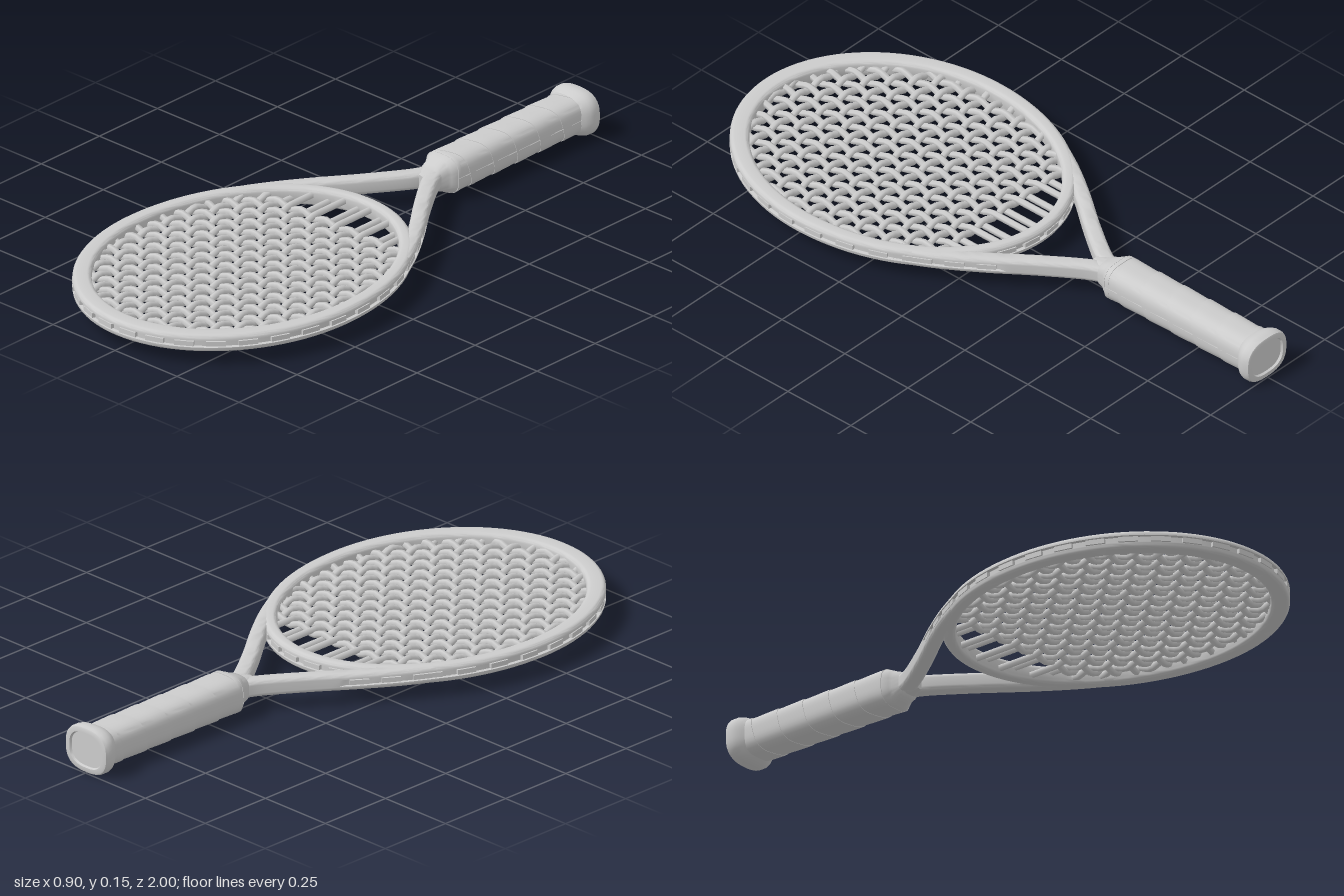
import * as THREE from 'three';
import { toCreasedNormals } from 'three/addons/utils/BufferGeometryUtils.js';

const MID = 0.073;                       // height of the racket's middle plane
const HOOP = { z: 0.46, a: 0.425, front: 0.51, back: 0.55 };
const material = new THREE.MeshStandardMaterial({ color: 0xcccccc });
const V = (x, y, z) => new THREE.Vector3(x, y, z);

// Skins a list of closed cross-sections; the ends are capped or joined up.
function loft(rings, joined = false, crease = 0.6) {
  const tris = [];
  const n = rings[0].length, m = rings.length;
  for (let i = 0; i < (joined ? m : m - 1); i++) {
    const a = rings[i], b = rings[(i + 1) % m];
    for (let j = 0; j < n; j++) {
      const k = (j + 1) % n;
      tris.push([a[j], b[j], b[k]], [a[j], b[k], a[k]]);
    }
  }
  if (!joined) {
    const cap = (ring, flip) => {
      const c = ring.reduce((s, p) => s.add(p), V(0, 0, 0)).divideScalar(n);
      ring.forEach((p, j) => {
        const q = ring[(j + 1) % n];
        tris.push(flip ? [c, q, p] : [c, p, q]);
      });
    };
    cap(rings[0], false);
    cap(rings[m - 1], true);
  }
  // Turn every face outward by the sign of the enclosed volume
  const volume = tris.reduce((s, [a, b, c]) => s + a.dot(b.clone().cross(c)), 0);
  const pts = tris.flatMap(([a, b, c]) => (volume < 0 ? [a, c, b] : [a, b, c]));
  return toCreasedNormals(new THREE.BufferGeometry().setFromPoints(pts), crease);
}

// Rounded frame section: u runs outward, v up, with a channel in the outer side
function frameSection(hw, hh, groove) {
  const pts = [], r = 0.014;
  const corner = (su, sv, start) => {
    for (let i = 0; i <= 4; i++) {
      const t = start + (i / 4) * Math.PI / 2;
      pts.push([su * (hw - r) + r * Math.cos(t), sv * (hh - r) + r * Math.sin(t)]);
    }
  };
  corner(1, 1, 0);
  corner(-1, 1, Math.PI / 2);
  corner(-1, -1, Math.PI);
  corner(1, -1, Math.PI * 1.5);
  pts.push([hw, -0.011], [hw - groove, -0.010], [hw - groove, 0.010], [hw, 0.011]);
  return pts;
}

// Places a section on a flat path point with the given outward direction
const place = (p, out, section) =>
  section.map(([u, v]) => V(p.x + out.x * u, MID + v, p.z + out.z * u));

function hoopAt(t) {
  const b = Math.sin(t) > 0 ? HOOP.front : HOOP.back;
  const p = V(HOOP.a * Math.cos(t), MID, HOOP.z + b * Math.sin(t));
  const out = V(b * Math.cos(t), 0, HOOP.a * Math.sin(t)).normalize();
  return { p, out, hw: 0.025 + 0.005 * Math.sin(t) };
}

// Superellipse ring across the handle
function handleRing(z, hx, hy, power = 3, sides = 40) {
  return Array.from({ length: sides }, (_, j) => {
    const t = (j / sides) * Math.PI * 2, c = Math.cos(t), s = Math.sin(t);
    const k = Math.pow(Math.abs(c) ** power + Math.abs(s) ** power, -1 / power);
    return V(hx * k * c, MID + hy * k * s, z);
  });
}

// Grip tape: a spiral surface whose turns overlap with a small step
function gripGeometry(z0, z1, pitch) {
  const sides = 40, rings = [];
  const turns = Math.ceil((z1 - z0) / pitch) + 1;
  for (let k = -1; k < turns; k++) {
    for (const [s, swell] of [[0, 1.0], [0.12, 1.0], [0.5, 1.018], [0.93, 1.035], [1, 1.025]]) {
      const ring = handleRing(0, 0.0645 * swell, 0.058 * swell, 3, sides);
      ring.push(ring[0].clone());
      ring.forEach((p, j) => {
        p.z = THREE.MathUtils.clamp(z0 + pitch * (k + s + j / sides), z0, z1);
      });
      rings.push(ring);
    }
  }
  return loft(rings, false, 0.4);
}

export function createModel() {
  const group = new THREE.Group();
  const add = (geometry, name, parent = group) => {
    const mesh = new THREE.Mesh(geometry, material);
    mesh.name = name;
    parent.add(mesh);
    return mesh;
  };
  const addGroup = (name) => {
    const g = new THREE.Group();
    g.name = name;
    group.add(g);
    return g;
  };

  // Hoop
  const hoopRings = Array.from({ length: 96 }, (_, i) => {
    const { p, out, hw } = hoopAt((i / 96) * Math.PI * 2);
    return place(p, out, frameSection(hw, 0.0275, 0.011));
  });
  add(loft(hoopRings, true), 'hoop');

  // Grommet strips sitting in the channel
  const grommets = addGroup('grommets');
  const grommetGeometry = new THREE.BoxGeometry(0.014, 0.015, 0.058);
  const addGrommet = (p, out, hw) => {
    const mesh = add(grommetGeometry, 'grommet', grommets);
    mesh.position.copy(p).addScaledVector(out, hw - 0.008);
    mesh.rotation.y = -Math.atan2(out.z, out.x);
  };
  for (let i = 0; i < 32; i++) {
    const { p, out, hw } = hoopAt(((i + 0.5) / 32) * Math.PI * 2);
    addGrommet(p, out, hw);
  }

  // Throat arms, one per side, running tangent into the hoop
  for (const side of [1, -1]) {
    const path = new THREE.CatmullRomCurve3(
      [[0.012, -0.365], [0.03, -0.325], [0.115, -0.2], [0.213, -0.07], [0.288, 0.04], [0.356, 0.16]]
        .map(([x, z]) => V(side * x, MID, z)));
    const at = (t) => {
      const d = path.getTangentAt(t);
      return { p: path.getPointAt(t), out: V(d.z * side, 0, -d.x * side), hw: 0.026 - 0.004 * t };
    };
    const rings = Array.from({ length: 29 }, (_, i) => {
      const { p, out, hw } = at(i / 28);
      return place(p, out, frameSection(hw, 0.0268, i > 13 ? 0.009 : 0));
    });
    add(loft(rings), side > 0 ? 'leftThroatArm' : 'rightThroatArm');
    for (const t of [0.56, 0.71, 0.86]) {
      const { p, out, hw } = at(t);
      addGrommet(p, out, hw);
    }
  }

  // Woven strings
  const strings = addGroup('strings');
  const mains = 16, crosses = 18, mainStep = 0.0485, crossStep = 0.0515, firstCross = 0.065;
  const weave = 0.007, radius = 0.011;
  const addString = (from, to, pointAt, name) => {
    const count = Math.max(8, Math.round((to - from) / 0.017));
    const pts = Array.from({ length: count + 1 }, (_, i) => pointAt(from + ((to - from) * i) / count));
    add(new THREE.TubeGeometry(new THREE.CatmullRomCurve3(pts), count, radius, 6), name, strings);
  };
  for (let i = 0; i < mains; i++) {
    const x = (i - (mains - 1) / 2) * mainStep;
    const k = Math.sqrt(1 - (x / 0.41) ** 2);
    addString(HOOP.z - 0.535 * k, HOOP.z + 0.485 * k, (z) => {
      const phase = Math.max(0, (z - firstCross) / crossStep) + i;
      return V(x, MID + weave * Math.cos(Math.PI * phase), z);
    }, 'mainString');
  }
  for (let j = 0; j < crosses; j++) {
    const z = firstCross + j * crossStep;
    const b = z > HOOP.z ? 0.49 : 0.54;
    const w = 0.41 * Math.sqrt(Math.max(0.02, 1 - ((z - HOOP.z) / b) ** 2));
    addString(-w, w, (x) => {
      const phase = x / mainStep + (mains - 1) / 2 + j;
      return V(x, MID - weave * Math.cos(Math.PI * phase), z);
    }, 'crossString');
  }

  // Handle: collar, wrapped grip and flared butt cap
  const profile = (rows, power) => loft(rows.map(([z, hx, hy]) => handleRing(z, hx, hy, power)));
  add(profile([[-0.315, 0.012, 0.024], [-0.335, 0.032, 0.028], [-0.355, 0.037, 0.031],
    [-0.362, 0.042, 0.040], [-0.385, 0.047, 0.048], [-0.392, 0.054, 0.052],
    [-0.412, 0.066, 0.060], [-0.425, 0.066, 0.060]], 3), 'collar');
  add(gripGeometry(-0.96, -0.41, 0.1), 'grip');
  add(profile([[-0.94, 0.066, 0.059], [-0.948, 0.074, 0.064], [-0.96, 0.083, 0.070],
    [-0.972, 0.087, 0.073], [-0.99, 0.087, 0.073], [-0.998, 0.084, 0.070], [-1.0, 0.079, 0.066],
    [-1.0, 0.067, 0.055], [-0.993, 0.064, 0.052]], 2.7), 'buttCap');

  return group;
}
